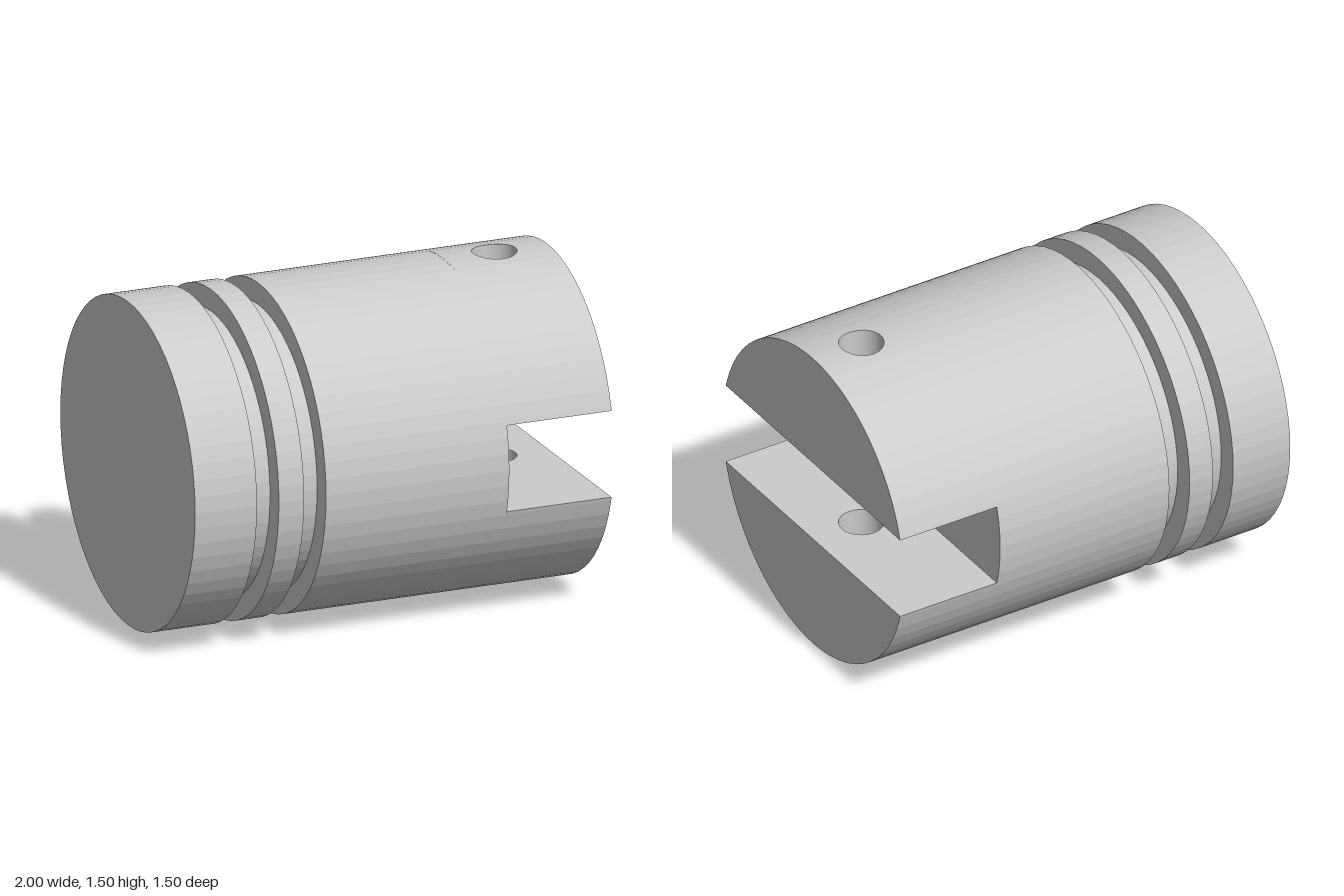
import * as THREE from 'three';

const R = 0.75, GROOVE_R = 0.65, SIDES = 64;
const SLOT_X = 0.5, SLOT_H = 0.2;          // slot start and half height
const HOLE_X = 0.75, HOLE_R = 0.1;

const material = new THREE.MeshStandardMaterial({ color: 0xcccccc, flatShading: true });

function addMesh(group, name, geometry) {
  const mesh = new THREE.Mesh(geometry, material);
  mesh.name = name;
  group.add(mesh);
  return mesh;
}

// Turned body with two ring grooves, lying along x
function bodyGeometry() {
  const profile = [[0, -1], [R, -1]];
  for (const [a, b] of [[-0.705, -0.6], [-0.48, -0.375]]) {
    profile.push([R, a], [GROOVE_R, a], [GROOVE_R, b], [R, b]);
  }
  profile.push([R, SLOT_X]);
  const points = profile.map(([r, x]) => new THREE.Vector2(r, x));
  return new THREE.LatheGeometry(points, SIDES).rotateZ(-Math.PI / 2);
}

// End wall of the slot: a band across the disc
function slotWallGeometry() {
  const a = Math.asin(SLOT_H / R);
  const shape = new THREE.Shape();
  shape.absarc(0, 0, R, -a, a, false);
  shape.absarc(0, 0, R, Math.PI - a, Math.PI + a, false);
  return new THREE.ShapeGeometry(shape, 6).rotateY(Math.PI / 2).translate(SLOT_X, 0, 0);
}

// Jaw above the slot, built in strips across z on either side of the pin hole
function jawGeometry() {
  const zMax = Math.sqrt(R * R - SLOT_H * SLOT_H);
  const zs = [-zMax, zMax];
  for (let k = -SIDES / 4; k <= SIDES / 4; k++) {
    const z = R * Math.sin((k * 2 * Math.PI) / SIDES);
    if (Math.abs(z) < zMax) zs.push(z);
  }
  for (let k = -12; k <= 12; k++) zs.push(HOLE_R * Math.sin((k * Math.PI) / 24));
  zs.sort((a, b) => a - b);

  const positions = [];
  const quad = (a, b, c, d) => positions.push(...a, ...b, ...c, ...a, ...c, ...d);
  const top = (z) => Math.sqrt(R * R - z * z);
  const half = (z) => Math.sqrt(Math.max(0, HOLE_R * HOLE_R - z * z));

  // Upright wall between two strip edges, facing +x or -x
  const wall = (x0, x1, z0, z1, facing) => {
    const c = [[x0, SLOT_H, z0], [x0, top(z0), z0], [x1, top(z1), z1], [x1, SLOT_H, z1]];
    quad(...(facing > 0 ? c : c.reverse()));
  };
  // Curved outer skin and flat slot face of one piece of a strip
  const skins = (a0, a1, b0, b1, z0, z1) => {
    quad([a0, top(z0), z0], [a1, top(z1), z1], [b1, top(z1), z1], [b0, top(z0), z0]);
    quad([b0, SLOT_H, z0], [b1, SLOT_H, z1], [a1, SLOT_H, z1], [a0, SLOT_H, z0]);
  };

  for (let i = 0; i + 1 < zs.length; i++) {
    const z0 = zs[i], z1 = zs[i + 1];
    if (z1 - z0 < 1e-6) continue;
    const h0 = half(z0), h1 = half(z1);
    wall(1, 1, z0, z1, 1);
    if (h0 + h1 < 1e-6) {
      skins(SLOT_X, SLOT_X, 1, 1, z0, z1);
    } else {
      skins(SLOT_X, SLOT_X, HOLE_X - h0, HOLE_X - h1, z0, z1);
      skins(HOLE_X + h0, HOLE_X + h1, 1, 1, z0, z1);
      wall(HOLE_X - h0, HOLE_X - h1, z0, z1, 1);
      wall(HOLE_X + h0, HOLE_X + h1, z0, z1, -1);
    }
  }
  const geometry = new THREE.BufferGeometry();
  geometry.setAttribute('position', new THREE.Float32BufferAttribute(positions, 3));
  geometry.computeVertexNormals();
  return geometry;
}

export function createModel() {
  const model = new THREE.Group();
  model.name = 'slottedPiston';
  addMesh(model, 'groovedBody', bodyGeometry());
  addMesh(model, 'slotWall', slotWallGeometry());
  const jaw = jawGeometry();
  addMesh(model, 'upperJaw', jaw);
  addMesh(model, 'lowerJaw', jaw).rotation.x = Math.PI;
  // Rest the cylinder on the ground
  for (const part of model.children) part.position.y = R;
  return model;
}
